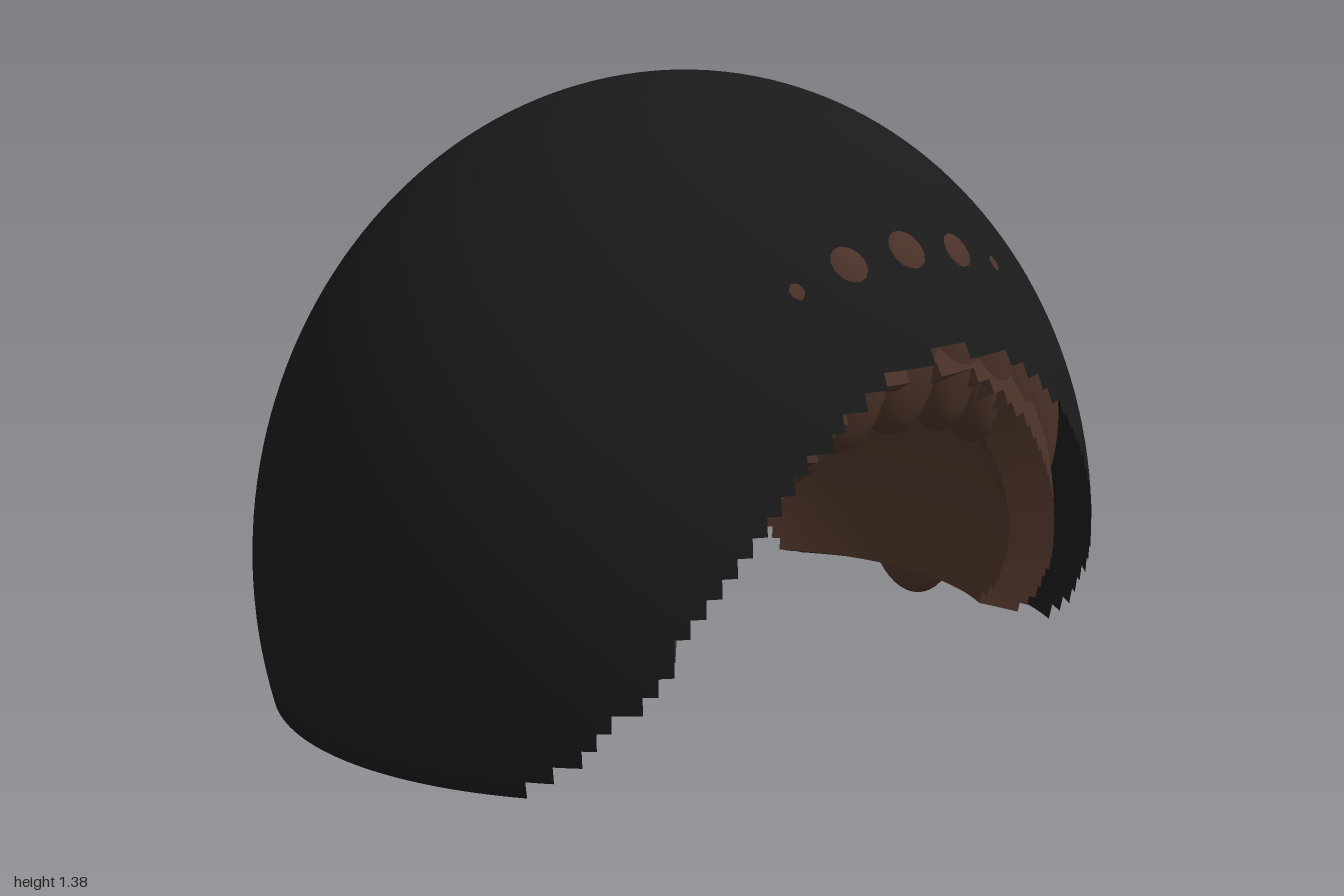
import * as THREE from 'three';

const COLS = 200, ROWS = 53;
const CENTRE = new THREE.Vector3(0, 0.32, 0.05);
const RADII = new THREE.Vector3(1, 1.055, 0.875);
const LINING_OUT = 0.91, LINING_IN = 0.8;
const PHI_MAX = Math.acos(-0.28 / RADII.y);

// Hairline height by angle from the front (degrees), same on both sides
const HAIRLINE = [
  [0, 0.85], [5, 0.835], [13, 0.8], [19, 0.74], [25, 0.67], [31, 0.57], [37, 0.43], [40.5, 0.35],
  [44.5, 0.25], [55, 0.1], [62, 0.04], [117, 0.04], [122, 0.1], [129, 0.2], [138, 0.31],
  [142, 0.34], [150, 0.3], [162, 0.25], [172, 0.215], [180, 0.18],
];

function hairlineY(deg) {
  const i = Math.max(1, HAIRLINE.findIndex((p) => p[0] >= deg));
  const [a0, y0] = HAIRLINE[i - 1], [a1, y1] = HAIRLINE[i];
  return y0 + ((y1 - y0) * (deg - a0)) / (a1 - a0);
}

// Number of rows kept in a column, which gives the stepped edge
function rowsIn(col) {
  const c = (col + COLS) % COLS;
  const deg = ((c + 0.5) * 360) / COLS;
  const y = hairlineY(Math.min(deg, 360 - deg));
  const phi = Math.acos((y - CENTRE.y) / RADII.y);
  return Math.min(ROWS, Math.round((phi / PHI_MAX) * ROWS));
}

function direction(col, row) {
  const a = (col / COLS) * Math.PI * 2, phi = (row / ROWS) * PHI_MAX;
  return new THREE.Vector3(Math.sin(a) * Math.sin(phi), Math.cos(phi), Math.cos(a) * Math.sin(phi));
}

const point = (col, row, scale) => direction(col, row).multiply(RADII).multiplyScalar(scale).add(CENTRE);

function quad(list, a, b, c, d) {
  list.push(a, b, c, a, c, d);
}

// One smooth skin, facing outwards or inwards
function skin(scale, inward) {
  const points = [], normals = [];
  for (let c = 0; c < COLS; c++) {
    const n = rowsIn(c);
    for (let r = 0; r < n; r++) {
      const corners = [[c, r], [c, r + 1], [c + 1, r + 1], [c + 1, r]];
      if (inward) corners.reverse();
      quad(points, ...corners.map(([i, j]) => point(i, j, scale)));
      quad(normals, ...corners.map(([i, j]) =>
        direction(i, j).divide(RADII).normalize().multiplyScalar(inward ? -1 : 1)));
    }
  }
  const g = new THREE.BufferGeometry().setFromPoints(points);
  g.setAttribute('normal', new THREE.Float32BufferAttribute(normals.flatMap((n) => n.toArray()), 3));
  return g;
}

// Stepped wall closing the lining along the hairline
function rim(out, inn) {
  const points = [];
  for (let c = 0; c < COLS; c++) {
    const n = rowsIn(c);
    quad(points, point(c, n, out), point(c, n, inn), point(c + 1, n, inn), point(c + 1, n, out));
    for (const side of [-1, 1]) {
      const m = rowsIn(c + side);
      if (m >= n) continue;
      const edge = side > 0 ? c + 1 : c;
      const wall = [point(edge, m, out), point(edge, n, out), point(edge, n, inn), point(edge, m, inn)];
      if (side < 0) wall.reverse();
      quad(points, ...wall);
    }
  }
  const g = new THREE.BufferGeometry().setFromPoints(points);
  g.computeVertexNormals();
  return g;
}

export function createModel() {
  const group = new THREE.Group();
  const darkHair = new THREE.MeshStandardMaterial({ name: 'darkHair', color: 0x1a1a1a, side: THREE.DoubleSide });
  const brownHair = new THREE.MeshStandardMaterial({ name: 'brownHair', color: 0x4a3228 });

  function add(name, geometry, material) {
    const mesh = new THREE.Mesh(geometry, material);
    mesh.name = name;
    group.add(mesh);
    return mesh;
  }

  // Thin dark cap over a thick brown lining
  add('outerHair', skin(1, false), darkHair);
  add('liningOutside', skin(LINING_OUT, false), brownHair);
  add('liningInside', skin(LINING_IN, true), brownHair);
  add('liningRim', rim(LINING_OUT, LINING_IN), brownHair);

  // Rounded locks
  const ball = new THREE.SphereGeometry(1, 32, 24);
  function lock(name, position, radii, turn = 0) {
    const mesh = add(name, ball, brownHair);
    mesh.position.set(...position);
    mesh.scale.set(...radii);
    mesh.rotation.y = turn;
  }

  // Fringe locks lie just under the cap, their tips showing through it
  function fringeLock(name, x, y) {
    const depth = RADII.z * Math.sqrt(0.865 ** 2 - x ** 2 - ((y - CENTRE.y) / RADII.y) ** 2);
    lock(name, [x, y, CENTRE.z + depth], [0.125, 0.21, 0.08], Math.atan2(x, depth));
  }
  const fringe = [[0.165, 0.843], [0.3, 0.797], [0.43, 0.74], [0.54, 0.66], [0.62, 0.58]];
  fringeLock('fringeLockMiddle', 0, 0.86);
  for (const side of [-1, 1]) {
    const label = side > 0 ? 'Left' : 'Right';
    fringe.forEach(([x, y], i) => fringeLock(`fringeLock${label}${i + 1}`, side * x, y));
    lock(`sideLock${label}`, [side * 0.88, 0.21, 0.01], [0.05, 0.21, 0.15]);
  }
  return group;
}
